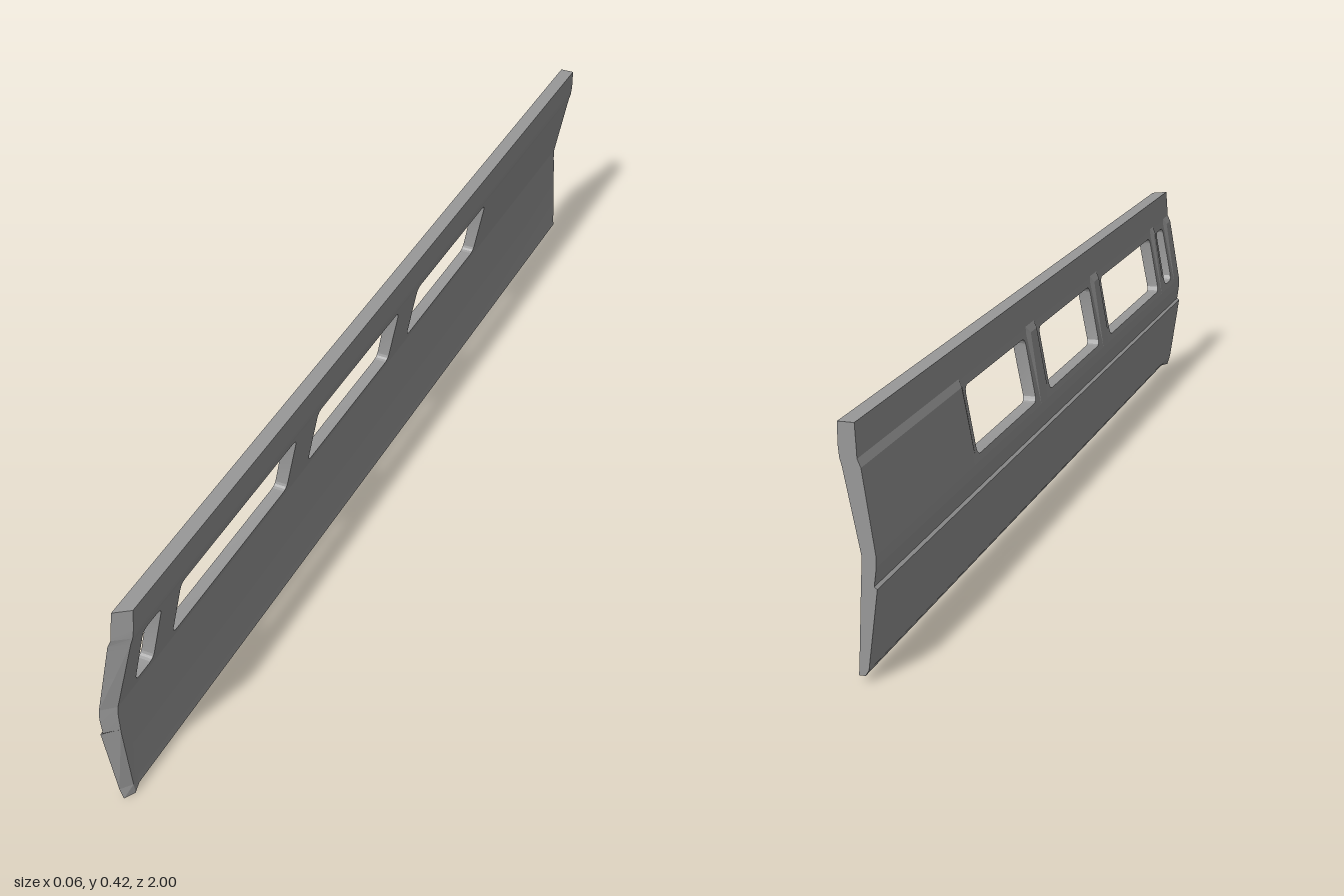
import * as THREE from 'three';
import { toCreasedNormals } from 'three/addons/utils/BufferGeometryUtils.js';

const panelGrey = new THREE.MeshStandardMaterial({ color: 0x999999 });
panelGrey.name = 'panelGrey';

// Window openings along z, all sharing one height range
const windows = [[-0.507, -0.16], [-0.07, 0.287], [0.375, 0.8], [0.865, 0.925]];
const SILL = 0.224, HEAD = 0.347, BAND = 0.212, RIM = 0.012, RAMP = 0.014;

// Wall section: [y, inner x beside windows, inner x at pillars, outer x]
const section = [
  [0, -0.008, -0.008, 0.003],
  [0.022, -0.014, -0.014, 0.002],
  [0.158, -0.031, -0.031, -0.004],
  [0.162, -0.026, -0.026, -0.004],
  [0.193, -0.03, -0.03, -0.006],
  [BAND, -0.03, -0.03, -0.006],
  [0.352, -0.004, -0.009, 0.022],
  [0.366, -0.003, -0.003, 0.026],
  [0.386, -0.002, -0.002, 0.028],
  [0.423, 0, 0, 0.028],
];

// Height of the slanted front edge along z: [y, z]
const frontEdge = [[0, 0.985], [0.158, 1], [0.193, 1], [0.423, 0.98]];

function interpolate(rows, y, column) {
  let i = 1;
  while (i < rows.length - 1 && y > rows[i][0]) i++;
  const a = rows[i - 1], b = rows[i];
  return THREE.MathUtils.lerp(a[column], b[column], (y - a[0]) / (b[0] - a[0]));
}

// 0 beside a window, rising to 1 on the raised pillars
function pillar(z) {
  let d = Infinity;
  for (const [a, b] of windows) d = Math.min(d, Math.max(a - RIM - z, z - b - RIM, 0));
  return Math.min(d / RAMP, 1);
}

function rectangle(shape, a, b, c, d, r) {
  shape.moveTo(a + r, c);
  shape.lineTo(b - r, c);
  if (r) shape.quadraticCurveTo(b, c, b, c + r);
  shape.lineTo(b, d - r);
  if (r) shape.quadraticCurveTo(b, d, b - r, d);
  shape.lineTo(a + r, d);
  if (r) shape.quadraticCurveTo(a, d, a, d - r);
  shape.lineTo(a, c + r);
  if (r) shape.quadraticCurveTo(a, c, a + r, c);
  return shape;
}

function buildWall() {
  const zBreaks = [-1, 1];
  for (const [a, b] of windows) zBreaks.push(a - RIM - RAMP, a - RIM, b + RIM, b + RIM + RAMP);
  zBreaks.sort((a, b) => a - b);
  const yBreaks = section.map(row => row[0]);
  const same = (a, b) => Math.abs(a - b) < 1e-5;
  const points = [];

  for (let j = 0; j < yBreaks.length - 1; j++) {
    for (let i = 0; i < zBreaks.length - 1; i++) {
      const z0 = zBreaks[i], z1 = zBreaks[i + 1], y0 = yBreaks[j], y1 = yBreaks[j + 1];
      const shape = rectangle(new THREE.Shape(), -z1, -z0, y0, y1, 0);
      const opening = y0 === BAND && windows.find(([a, b]) => a > z0 && b < z1);
      if (opening) {
        shape.holes.push(rectangle(new THREE.Path(), -opening[1], -opening[0], SILL, HEAD, 0.016));
      }
      const cell = new THREE.ExtrudeGeometry(shape, { depth: 1, bevelEnabled: false, curveSegments: 5 });
      const p = (cell.index ? cell.toNonIndexed() : cell).attributes.position;
      for (let t = 0; t < p.count; t += 3) {
        const corners = [0, 1, 2].map(k => [p.getZ(t + k), p.getY(t + k), -p.getX(t + k)]);
        // Leave out the hidden faces between neighbouring cells
        const all = (axis, v) => corners.every(c => same(c[axis], v));
        if ((j > 0 && all(1, y0)) || (j < yBreaks.length - 2 && all(1, y1))) continue;
        if ((i > 0 && all(2, z0)) || (i < zBreaks.length - 2 && all(2, z1))) continue;
        for (const [side, y, z] of corners) {
          // Bend the flat cell to the wall section
          const inner = THREE.MathUtils.lerp(interpolate(section, y, 1), interpolate(section, y, 2), pillar(z));
          const x = side > 0.5 ? interpolate(section, y, 3) : inner;
          // Slant the front end and let the lower edge drop towards it
          const endZ = same(z, 1) ? interpolate(frontEdge, y, 1) - (side > 0.5 ? 0.02 : 0) : z;
          const drop = same(y, 0) ? 0.012 * Math.min(1, (1 - z) / 0.05) : 0;
          points.push(x, y + drop, endZ);
        }
      }
    }
  }
  const geometry = new THREE.BufferGeometry();
  geometry.setAttribute('position', new THREE.Float32BufferAttribute(points, 3));
  return toCreasedNormals(geometry, 0.12);
}

export function createModel() {
  const model = new THREE.Group();
  model.name = 'sideWallPanel';
  const wall = new THREE.Mesh(buildWall(), panelGrey);
  wall.name = 'windowedWall';
  model.add(wall);
  return model;
}
